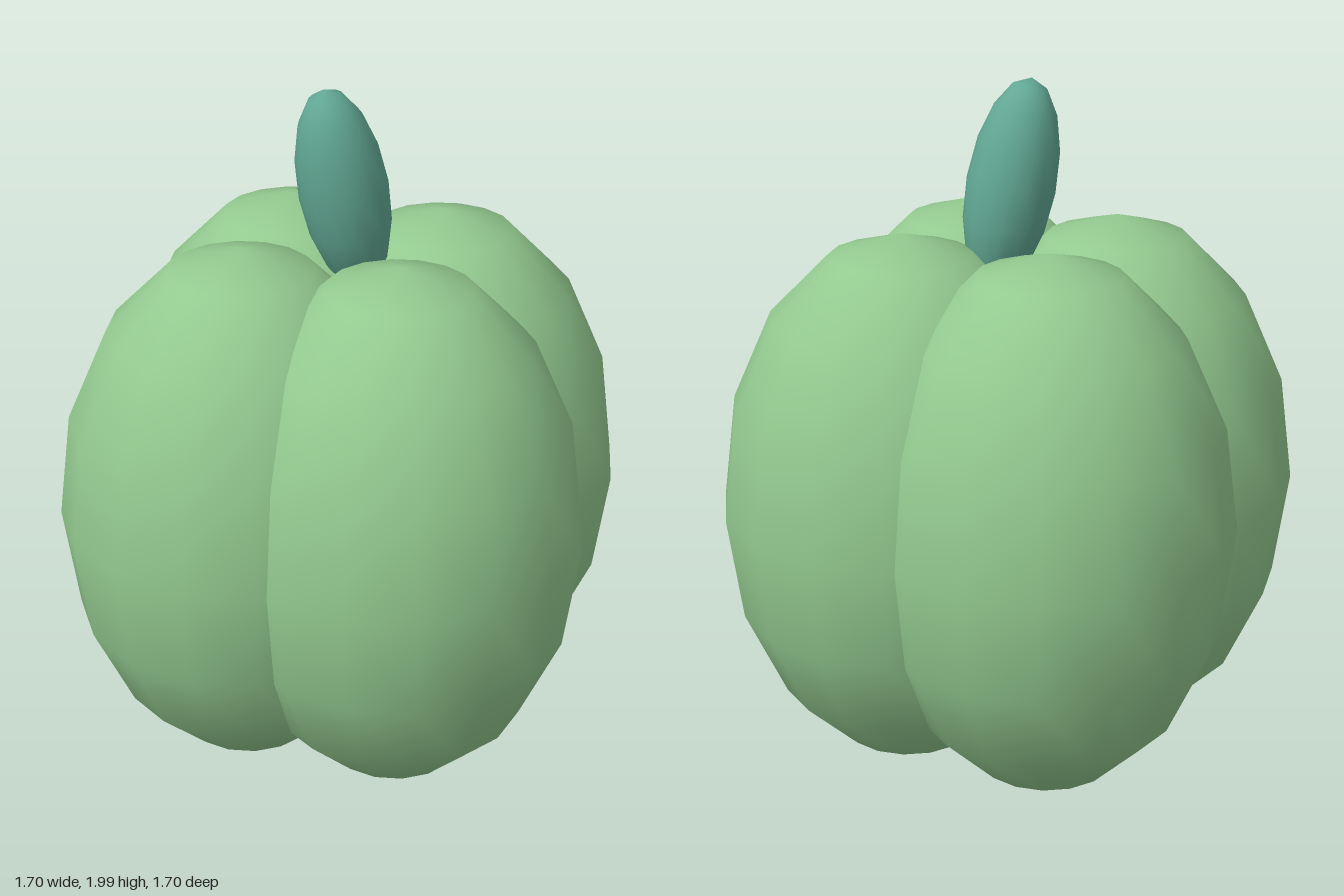
import * as THREE from 'three';

export function createModel() {
  const group = new THREE.Group();
  const rind = new THREE.MeshStandardMaterial({ name: 'light green rind', color: 0x93c98f });
  const stalk = new THREE.MeshStandardMaterial({ name: 'teal stem', color: 0x62a894 });
  const ball = new THREE.SphereGeometry(1, 16, 8);

  // Adds one ellipsoid with the given radii and centre
  function ellipsoid(name, material, radii, centre) {
    const mesh = new THREE.Mesh(ball, material);
    mesh.name = name;
    mesh.scale.set(...radii);
    mesh.position.set(...centre);
    group.add(mesh);
    return mesh;
  }

  // Four overlapping lobes around the middle
  const offset = 0.32;
  const lobes = { leftLobe: [1, 0], rightLobe: [-1, 0], frontLobe: [0, 1], backLobe: [0, -1] };
  for (const [name, [x, z]] of Object.entries(lobes)) {
    ellipsoid(name, rind, [0.53, 0.793, 0.53], [x * offset, 0.797, z * offset]);
  }

  // Leaning stem
  const stem = ellipsoid('stem', stalk, [0.126, 0.302, 0.126], [0, 1.702, 0]);
  stem.rotation.z = 0.2;

  return group;
}
